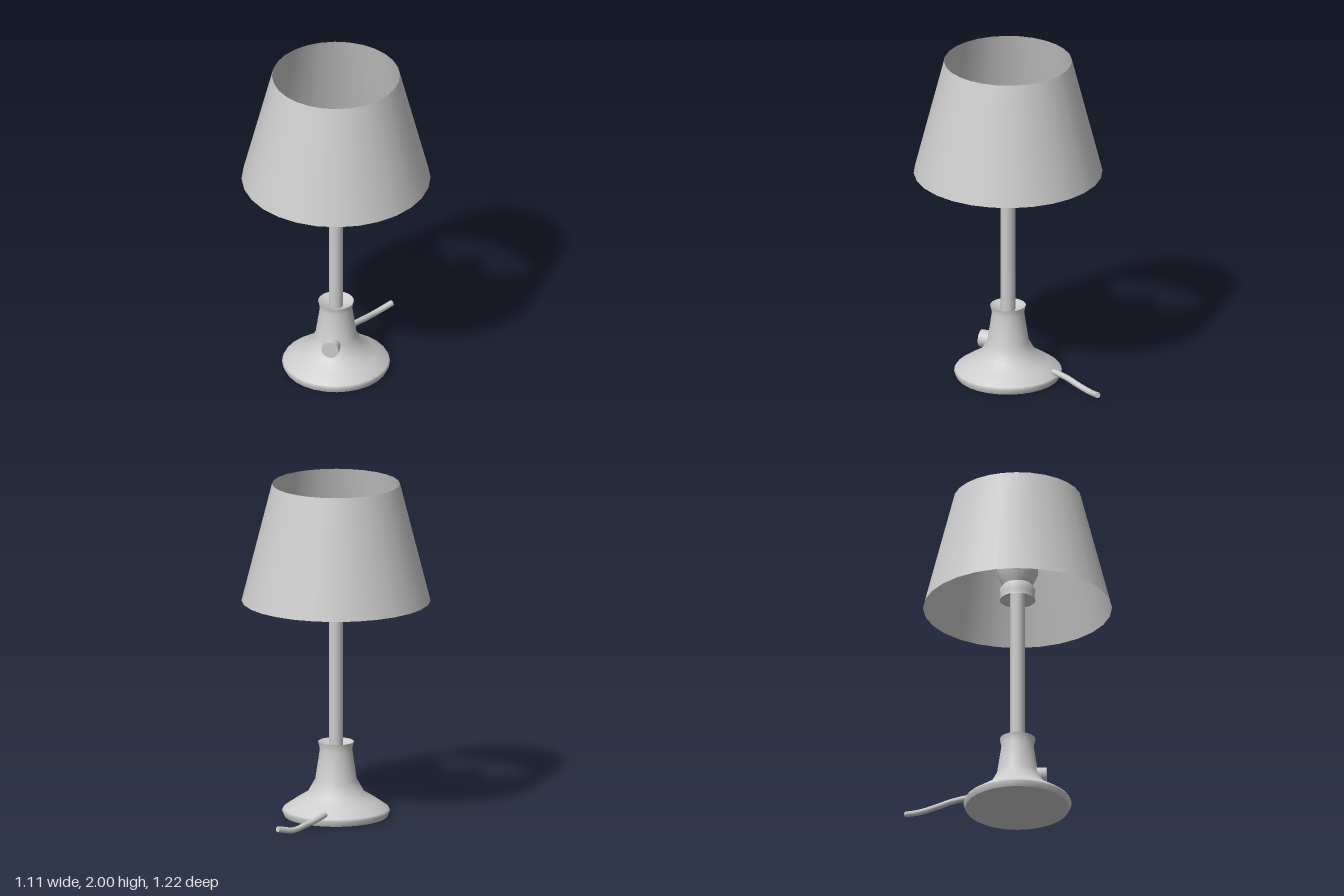
import * as THREE from 'three';

const AXIS_Z = 0.055; // the lamp stands forward of centre; the cord trails behind

export function createModel() {
  const lamp = new THREE.Group();
  lamp.name = 'tableLamp';
  const grey = new THREE.MeshStandardMaterial({ color: 0xcccccc, side: THREE.DoubleSide });
  grey.name = 'plain grey';

  const add = (name, geometry, x = 0, y = 0, z = AXIS_Z, parent = lamp) => {
    const mesh = new THREE.Mesh(geometry, grey);
    mesh.name = name;
    mesh.position.set(x, y, z);
    parent.add(mesh);
    return mesh;
  };

  // Turned part: each profile is smooth, with a sharp edge where two profiles meet
  const turned = (name, profiles, sides) => {
    const group = new THREE.Group();
    group.name = name;
    profiles.forEach((profile, i) => {
      const points = profile.map(([r, y]) => new THREE.Vector2(r, y));
      add(`${name}Surface${i + 1}`, new THREE.LatheGeometry(points, sides), 0, 0, AXIS_Z, group);
    });
    lamp.add(group);
  };

  // Bell-shaped foot with a flared, dished neck
  turned('base', [
    [[0, 0], [0.305, 0]],
    [[0.305, 0], [0.318, 0.03], [0.31, 0.045], [0.245, 0.09], [0.168, 0.138],
      [0.122, 0.22], [0.095, 0.4], [0.105, 0.445]],
    [[0.105, 0.445], [0.085, 0.435], [0.04, 0.415]],
  ], 28);

  // Pole
  add('pole', new THREE.CylinderGeometry(0.043, 0.043, 1.0, 12), 0, 0.9);

  // Bulb holder, hollow underneath
  turned('socket', [
    [[0.04, 1.38], [0.06, 1.38]],
    [[0.06, 1.38], [0.105, 1.345]],
    [[0.105, 1.345], [0.1, 1.375], [0.105, 1.41], [0.085, 1.44]],
  ], 24);

  // Bulb
  turned('bulb', [
    [[0.085, 1.435], [0.122, 1.515], [0.117, 1.56], [0.086, 1.62], [0.045, 1.65], [0, 1.66]],
  ], 24);

  // Open conical shade
  add('shade', new THREE.CylinderGeometry(0.376, 0.555, 0.705, 28, 1, true), 0, 1.6475);

  // Round switch on the front of the base
  const knob = new THREE.CylinderGeometry(0.052, 0.052, 0.12, 20).rotateX(Math.PI / 2);
  add('switchKnob', knob, 0, 0.205, 0.167);

  // Cord leaving the back of the base
  const path = new THREE.CatmullRomCurve3([
    [0, 0.068, -0.235], [0.03, 0.057, -0.33], [0.075, 0.044, -0.42],
    [0.125, 0.034, -0.52], [0.198, 0.055, -0.603],
  ].map((p) => new THREE.Vector3(...p)));
  add('cord', new THREE.TubeGeometry(path, 12, 0.018, 8), 0, 0, 0);
  [[0, -1], [1, 1]].forEach(([t, way]) => {
    const end = path.getPointAt(t);
    const cap = add('cordEnd', new THREE.CircleGeometry(0.018, 8), end.x, end.y, end.z);
    cap.lookAt(end.clone().addScaledVector(path.getTangentAt(t), way));
  });

  return lamp;
}
